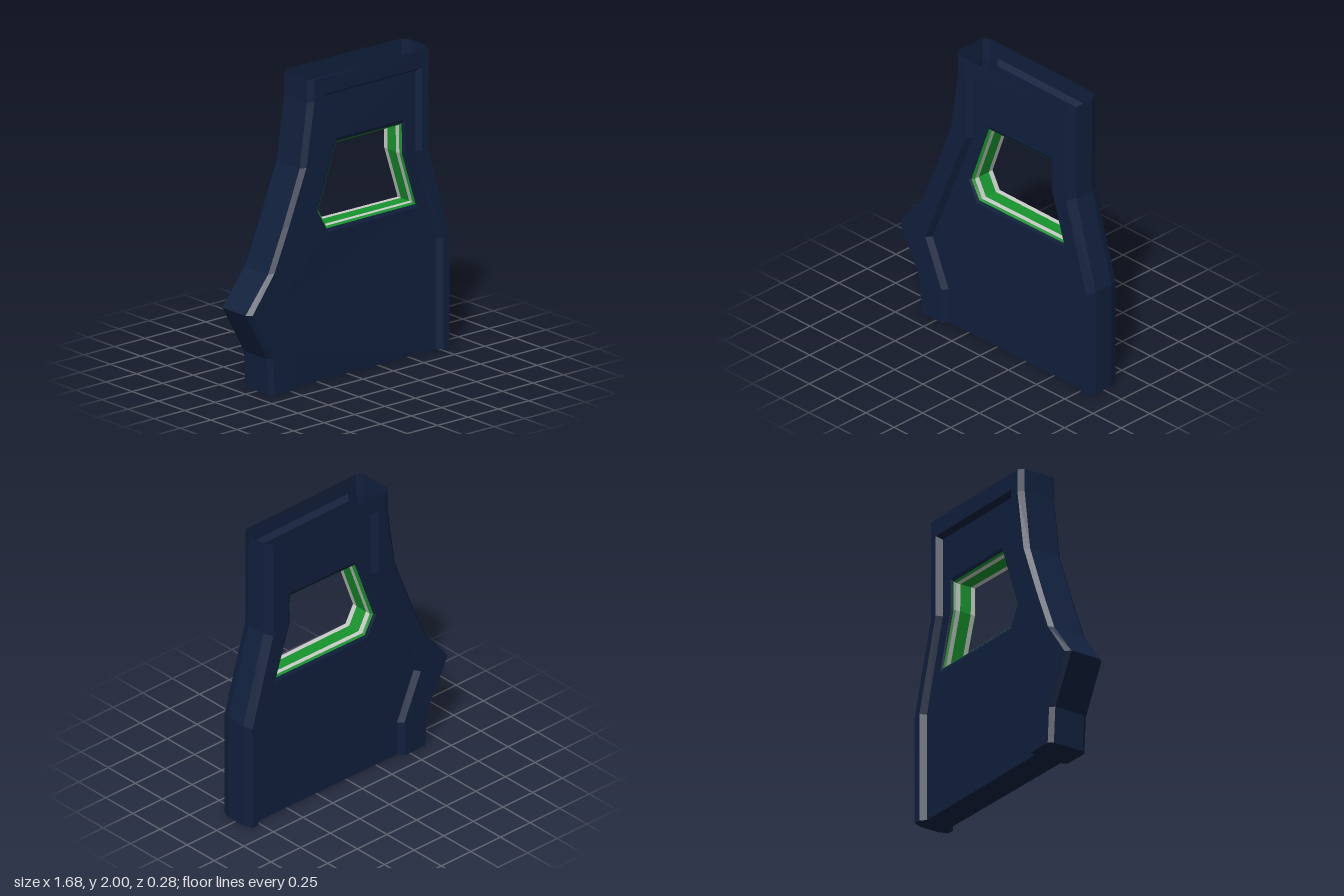
import * as THREE from 'three';

const FACE = 0.14, PANEL = 0.1; // half depths of the raised frame and the recessed panel

const body = new THREE.MeshStandardMaterial({ color: 0x11203d, flatShading: true, side: THREE.DoubleSide });
const green = new THREE.MeshStandardMaterial({ color: 0x17952c, flatShading: true, side: THREE.DoubleSide });
const pale = new THREE.MeshStandardMaterial({ color: 0xcccccc, flatShading: true, side: THREE.DoubleSide });

// Outlines run clockwise seen from the front: up the left of the picture, down the right
const sideA = [[-0.655, 0], [-0.67, 0.24], [-0.845, 0.56], [-0.66, 0.79], [-0.54, 1.07], [-0.4, 1.43], [-0.34, 1.85], [-0.34, 2]];
const rimA = [[-0.63, 0], [-0.645, 0.24], [-0.812, 0.56], [-0.632, 0.8], [-0.512, 1.08], [-0.37, 1.435], [-0.305, 1.85], [-0.305, 2]];
const sideB = [[0.67, 2], [0.67, 1.34], [0.84, 0.73], [0.84, 0]];
const rimB = [[0.64, 2], [0.64, 1.335], [0.815, 0.725], [0.815, 0]];
const stepOuter = [[-0.455, 0], [-0.455, 0.24], [-0.595, 0.56], [-0.24, 1.43], [-0.235, 1.885], [0.59, 1.885], [0.59, 1.34], [0.765, 0.73], [0.765, 0]];
const stepInner = [[-0.43, 0], [-0.43, 0.235], [-0.57, 0.56], [-0.21, 1.425], [-0.205, 1.862], [0.565, 1.862], [0.565, 1.335], [0.735, 0.725], [0.735, 0]];
const winOuter = [[-0.09, 1.56], [0.48, 1.56], [0.483, 1.33], [0.592, 0.96], [-0.175, 0.96], [-0.253, 1.105]];
const winRim = [[-0.082, 1.537], [0.46, 1.537], [0.463, 1.337], [0.575, 0.983], [-0.165, 0.983], [-0.238, 1.11]];
const winClear = [[-0.07, 1.525], [0.448, 1.525], [0.451, 1.34], [0.56, 0.995], [-0.157, 0.995], [-0.22, 1.112]];

const at = (pts, z) => pts.map(([x, y]) => new THREE.Vector3(x, y, z));
const shapeOf = (pts) => new THREE.Shape(pts.map(([x, y]) => new THREE.Vector2(x, y)));

// The door is slightly thinner towards +x
function taper(geo) {
  const p = geo.attributes.position;
  for (let i = 0; i < p.count; i++) {
    p.setZ(i, p.getZ(i) * (1 - 0.08 * THREE.MathUtils.smoothstep(p.getX(i), 0.05, 0.6)));
  }
  geo.computeVertexNormals();
  return geo;
}

// Strip of quads between two outlines with equal point counts
function strip(a, b, closed = false) {
  const pts = [];
  const n = closed ? a.length : a.length - 1;
  for (let i = 0; i < n; i++) {
    const j = (i + 1) % a.length;
    pts.push(a[i], a[j], b[j], a[i], b[j], b[i]);
  }
  return taper(new THREE.BufferGeometry().setFromPoints(pts));
}

// Flat face at depth z, turned to the back when s is negative
function flat(shape, z, s) {
  const geo = new THREE.ShapeGeometry(shape);
  if (s < 0) geo.index.array.reverse();
  geo.translate(0, 0, z * s);
  return taper(geo);
}

export function createModel() {
  const group = new THREE.Group();
  const add = (name, geo, mat) => {
    const mesh = new THREE.Mesh(geo, mat);
    mesh.name = name;
    group.add(mesh);
  };

  // Outer edge walls
  add('hingeOrLatchEdge', strip(at(sideA, 0.11), at(sideA, -0.11)), body);
  add('straightEdge', strip(at(sideB, 0.075), at(sideB, -0.075)), body);

  for (const s of [1, -1]) {
    const side = s > 0 ? 'front' : 'back';
    // Strip that faces out of the solid, or into an opening, on either side
    const outward = (p, zp, q, zq, closed) => s > 0
      ? strip(at(p, zp), at(q, zq), closed) : strip(at(q, -zq), at(p, -zp), closed);
    const inward = (p, zp, q, zq, closed) => s > 0
      ? strip(at(q, zq), at(p, zp), closed) : strip(at(p, -zp), at(q, -zq), closed);

    // Bevels and raised frame
    add(side + 'LeftBevel', outward(rimA, FACE, sideA, 0.11), body);
    add(side + 'RightBevel', outward(rimB, FACE, sideB, 0.075), body);
    add(side + 'Frame', flat(shapeOf([...rimA, ...rimB, ...[...stepOuter].reverse()]), FACE, s), body);

    // Recessed panel with the window opening
    add(side + 'FrameStep', inward(stepOuter, FACE, stepInner, PANEL), body);
    const panel = shapeOf(stepInner);
    panel.holes.push(shapeOf(winOuter));
    add(side + 'Panel', flat(panel, PANEL, s), body);

    // Window surround and seal
    add(side + 'WindowBevel', inward(winOuter, PANEL, winRim, 0.09, true), body);
    add(side + 'WindowTrim', inward(winRim, 0.09, winClear, 0.077, true), green);
    add(side + 'WindowSeal', inward(winClear, 0.077, winClear, 0.043, true), pale);
  }

  // Middle of the window lining
  add('windowLining', strip(at(winClear, -0.043), at(winClear, 0.043), true), green);

  // Closed underside; the top stays open
  const half = [[-0.655, 0.11], [-0.63, FACE], [-0.455, FACE], [-0.43, PANEL], [0.735, PANEL], [0.765, FACE], [0.815, FACE], [0.84, 0.075]];
  const mirrored = half.map(([x, z]) => [x, -z]).reverse();
  const bottom = new THREE.ShapeGeometry(shapeOf([...half, ...mirrored]));
  bottom.rotateX(Math.PI / 2);
  add('underside', taper(bottom), body);

  return group;
}
